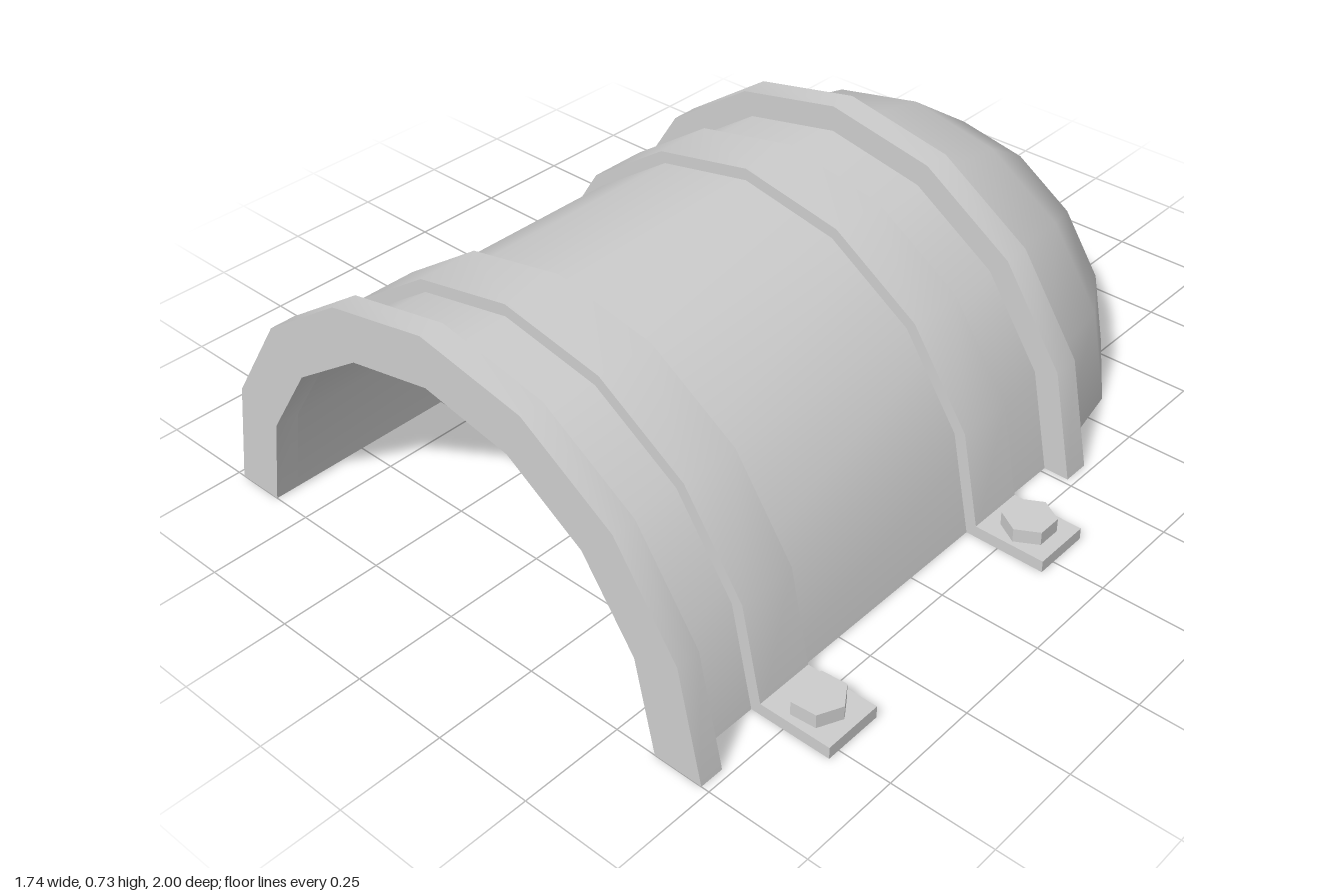
import * as THREE from 'three';
import { toCreasedNormals } from 'three/addons/utils/BufferGeometryUtils.js';

const OUTER = 0.665, INNER = 0.605, SEGMENTS = 8;
const DOME_Z = -0.335;

// Points on a faceted arc, from angle a to angle b
function arc(radius, a, b, steps) {
  return Array.from({ length: steps + 1 }, (_, i) => {
    const t = a + (b - a) * i / steps;
    return new THREE.Vector2(radius * Math.cos(t), radius * Math.sin(t));
  });
}

// Half ring outline; side = -1 points it downwards
function halfRing(inner, outer, side = 1) {
  return new THREE.Shape([
    ...arc(outer, 0, side * Math.PI, SEGMENTS),
    ...arc(inner, side * Math.PI, 0, SEGMENTS),
  ]);
}

export function createModel() {
  const model = new THREE.Group();
  model.name = 'halfPipeCover';
  const metal = new THREE.MeshStandardMaterial({ color: 0xcccccc });
  metal.name = 'lightGrey';

  function add(name, geometry, parent = model) {
    const mesh = new THREE.Mesh(geometry, metal);
    mesh.name = name;
    parent.add(mesh);
    return mesh;
  }

  // Arched section between two z positions
  function arch(name, inner, outer, z0, z1) {
    const g = new THREE.ExtrudeGeometry(halfRing(inner, outer), { depth: z1 - z0, bevelEnabled: false });
    g.translate(0, 0, z0);
    return add(name, toCreasedNormals(g, 0.55));
  }

  // Shell, end flanges and straps
  arch('shell', INNER, OUTER, DOME_Z, 0.94);
  arch('frontFlange', INNER, 0.73, 0.94, 1);
  arch('rearFlange', OUTER, 0.73, DOME_Z, -0.265);
  const strapCentres = [-0.03, 0.705];
  for (const z of strapCentres) arch('strap', OUTER, 0.695, z - 0.075, z + 0.075);

  // Quarter-sphere end cap: outside, inside and bottom rim
  const dome = new THREE.Group();
  dome.name = 'dome';
  dome.position.z = DOME_Z;
  model.add(dome);
  const cap = (name, profile) => add(name,
    new THREE.LatheGeometry(profile, SEGMENTS, -Math.PI / 2, Math.PI).rotateX(-Math.PI / 2), dome);
  cap('domeOutside', arc(OUTER, 0, Math.PI / 2, 4));
  cap('domeInside', arc(INNER, Math.PI / 2, 0, 4));
  add('domeRim', new THREE.ShapeGeometry(halfRing(INNER, OUTER, -1)).rotateX(Math.PI / 2), dome);

  // Mounting feet with hexagonal bolt heads
  for (const z of strapCentres) {
    for (const side of [-1, 1]) {
      const foot = new THREE.Group();
      foot.name = side > 0 ? 'leftFoot' : 'rightFoot';
      foot.position.set(side * 0.78, 0, z);
      model.add(foot);
      add('footPlate', new THREE.BoxGeometry(0.19, 0.03, 0.15).translate(-side * 0.005, 0.015, 0), foot);
      const bolt = add('boltHead', toCreasedNormals(
        new THREE.CylinderGeometry(0.063, 0.063, 0.035, 6).translate(0, 0.0475, 0), 0.5), foot);
      bolt.rotation.y = z > 0 ? Math.PI / 6 + side * 0.08 : (side > 0 ? 0 : -0.2);
    }
  }
  return model;
}
